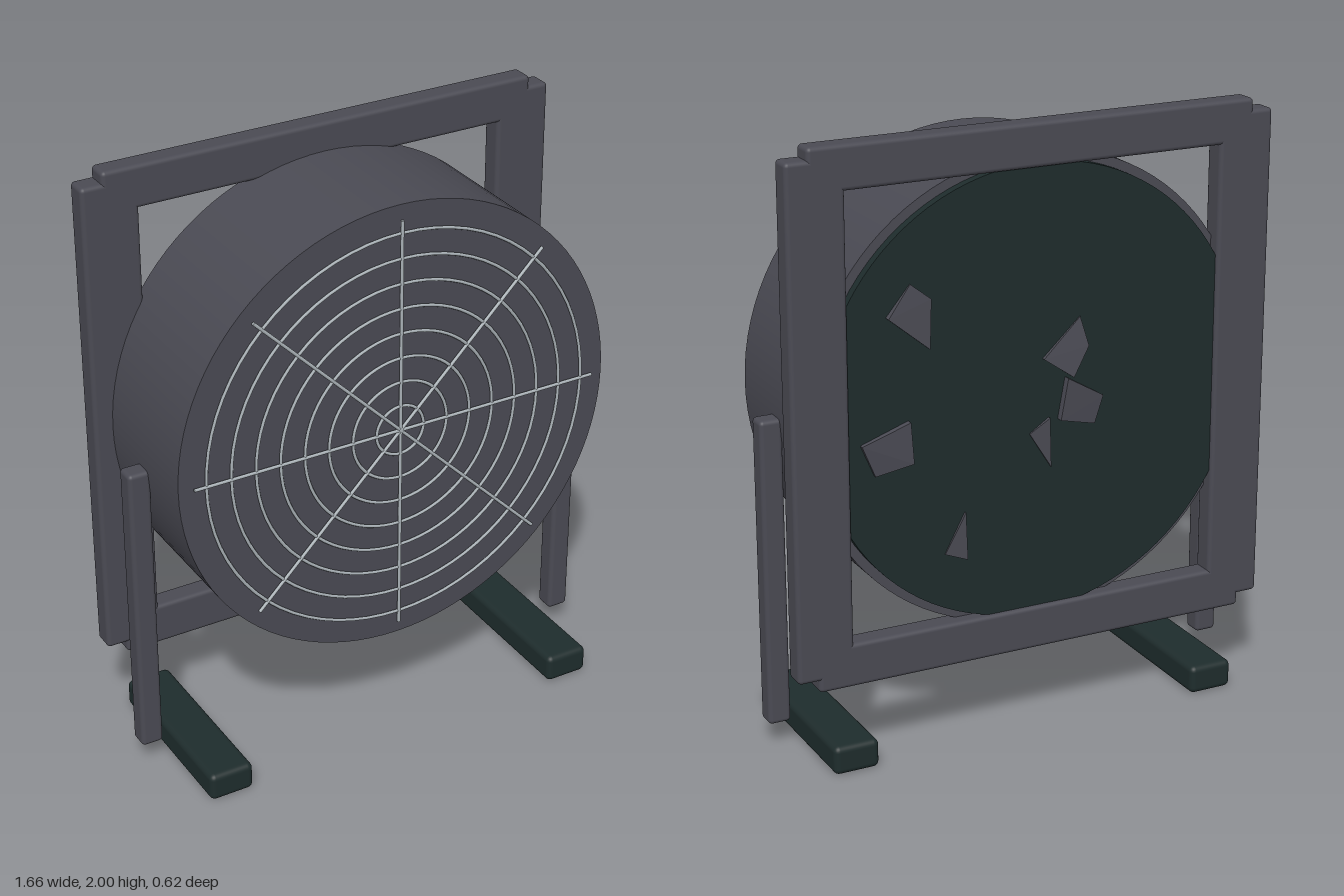
import * as THREE from 'three';
import { RoundedBoxGeometry } from 'three/addons/geometries/RoundedBoxGeometry.js';
import { ConvexGeometry } from 'three/addons/geometries/ConvexGeometry.js';

export function createModel() {
  const group = new THREE.Group();
  const body = new THREE.MeshStandardMaterial({ color: 0x4a4a53 });
  body.name = 'charcoal body';
  const dark = new THREE.MeshStandardMaterial({ color: 0x1e2c2c });
  dark.name = 'dark green rubber';
  const wire = new THREE.MeshStandardMaterial({ color: 0xaab2b7 });
  wire.name = 'grey wire';

  const add = (name, geometry, material, x = 0, y = 0, z = 0) => {
    const mesh = new THREE.Mesh(geometry, material);
    mesh.name = name;
    mesh.position.set(x, y, z);
    group.add(mesh);
    return mesh;
  };
  // Rounded bar given by its limits on each axis
  const bar = (name, material, [x0, x1], [y0, y1], [z0, z1], r = 0.014) =>
    add(name, new RoundedBoxGeometry(x1 - x0, y1 - y0, z1 - z0, 3, r), material,
      (x0 + x1) / 2, (y0 + y1) / 2, (z0 + z1) / 2);
  // Disc or drum facing z, between two depths
  const disc = (name, material, r, z0, z1) =>
    add(name, new THREE.CylinderGeometry(r, r, z1 - z0, 96).rotateX(Math.PI / 2), material,
      0, hubY, (z0 + z1) / 2);

  const hubY = 1.14;
  const panelZ = -0.27;

  // Square rear frame
  const frameZ = [-0.284, -0.206];
  bar('frameTop', body, [-0.756, 0.756], [1.86, 2.0], frameZ);
  bar('frameBottom', body, [-0.756, 0.756], [0.281, 0.425], frameZ);

  for (const s of [-1, 1]) {
    const side = (a, b) => (s > 0 ? [a, b] : [-b, -a]);
    const label = s > 0 ? 'left' : 'right';
    bar(label + 'FrameSide', body, side(0.638, 0.826), [0.322, 1.962], frameZ);
    // Stand posts and feet
    bar(label + 'Post', body, side(0.754, 0.829), [0.08, 1.102], [-0.035, 0.035]);
    bar(label + 'Foot', dark, side(0.569, 0.722), [0, 0.096], [-0.31, 0.31], 0.02);
  }

  // Drum housing with a closed front, and the dark panel on its back
  disc('drum', body, 0.765, -0.24, 0.246);
  disc('backPanel', dark, 0.735, panelZ, -0.23);

  // Front grille: concentric rings and crossing spokes
  for (let i = 1; i <= 8; i++) {
    add('grilleRing' + i, new THREE.TorusGeometry(0.0845 * i, 0.0055, 6, 72), wire, 0, hubY, 0.257);
  }
  for (let i = 0; i < 4; i++) {
    const spoke = new THREE.CylinderGeometry(0.0055, 0.0055, 1.435, 8);
    add('grilleSpoke' + i, spoke, wire, 0, hubY, 0.259).rotation.z = (i * Math.PI) / 4;
  }

  // Blade tips poking through the panel: corners as x, y and height
  const tips = [
    [[0.51, 1.455, 0.022], [0.43, 1.55, 0.004], [0.36, 1.495, 0.004], [0.37, 1.34, 0.015]],
    [[0.60, 1.065, 0.015], [0.44, 1.12, 0.022], [0.43, 0.985, 0.022], [0.555, 0.96, 0.01]],
    [[-0.02, 1.25, 0.012], [-0.15, 1.37, 0.004], [-0.175, 1.275, 0.018], [-0.12, 1.18, 0.024]],
    [[-0.10, 1.18, 0.024], [-0.235, 1.10, 0.006], [-0.205, 1.01, 0.006], [-0.075, 1.045, 0.024]],
    [[0.025, 1.01, 0.004], [-0.043, 1.055, 0.012], [-0.05, 0.89, 0.008]],
    [[0.32, 0.66, 0.004], [0.25, 0.79, 0.01], [0.243, 0.63, 0.008]],
  ];
  tips.forEach((corners, i) => {
    const points = [];
    for (const [x, y, h] of corners) {
      points.push(new THREE.Vector3(x, y, panelZ + 0.003), new THREE.Vector3(x, y, panelZ - h));
    }
    add('bladeTip' + (i + 1), new ConvexGeometry(points), body);
  });

  return group;
}
